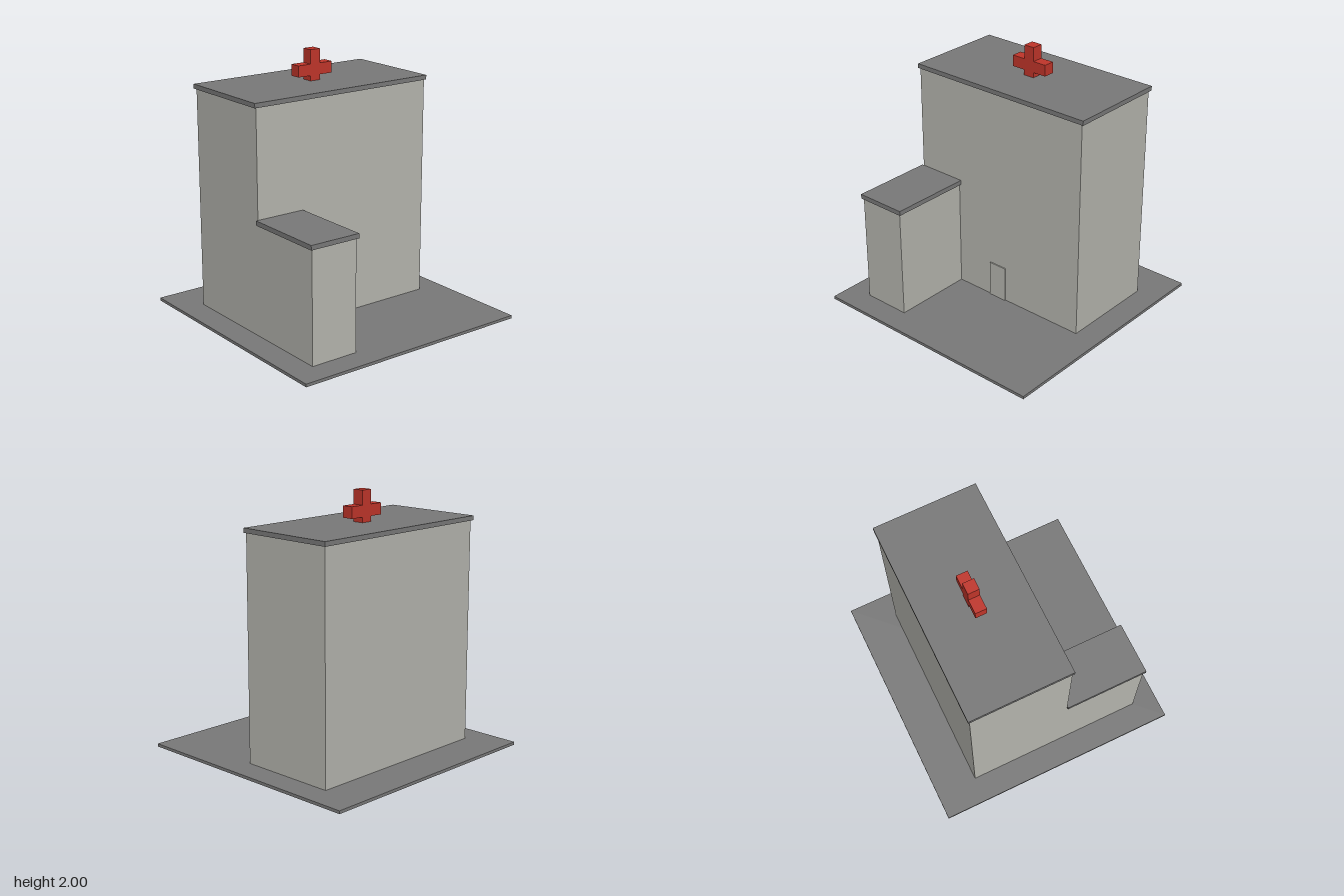
import * as THREE from 'three';

export function createModel() {
  const model = new THREE.Group();
  model.name = 'hospital';

  const material = (name, color) => {
    const m = new THREE.MeshStandardMaterial({ color });
    m.name = name;
    return m;
  };
  const wall = material('concrete wall', 0xb5b5ae);
  const slab = material('dark slab', 0x797979);
  const red = material('red', 0xc0352a);

  // Box given by its lower and upper limits on each axis
  const box = (name, mat, [x0, x1], [y0, y1], [z0, z1], parent = model) => {
    const mesh = new THREE.Mesh(new THREE.BoxGeometry(x1 - x0, y1 - y0, z1 - z0), mat);
    mesh.position.set((x0 + x1) / 2, (y0 + y1) / 2, (z0 + z1) / 2);
    mesh.name = name;
    parent.add(mesh);
  };

  // Ground slab
  box('groundSlab', slab, [-0.967, 0.967], [0, 0.023], [-0.967, 0.967]);

  // Main block with overhanging roof
  box('mainBlock', wall, [-0.77, 0.77], [0.023, 1.73], [-0.643, 0.133]);
  box('mainRoof', slab, [-0.785, 0.785], [1.73, 1.765], [-0.658, 0.142]);

  // Low front wing, meeting the main block's front wall
  box('wing', wall, [-0.77, -0.39], [0.023, 0.878], [0.133, 0.774]);
  box('wingRoof', slab, [-0.785, -0.375], [0.878, 0.914], [0.133, 0.786]);

  // Front door panel
  box('door', wall, [-0.077, 0.077], [0.023, 0.308], [0.133, 0.142]);

  // Rooftop cross: post plus two arms
  const cross = new THREE.Group();
  cross.name = 'roofCross';
  model.add(cross);
  const depth = [-0.303, -0.215];
  box('crossPost', red, [-0.044, 0.044], [1.765, 2], depth, cross);
  box('crossArmRight', red, [-0.154, -0.044], [1.805, 1.892], depth, cross);
  box('crossArmLeft', red, [0.044, 0.154], [1.805, 1.892], depth, cross);

  return model;
}
